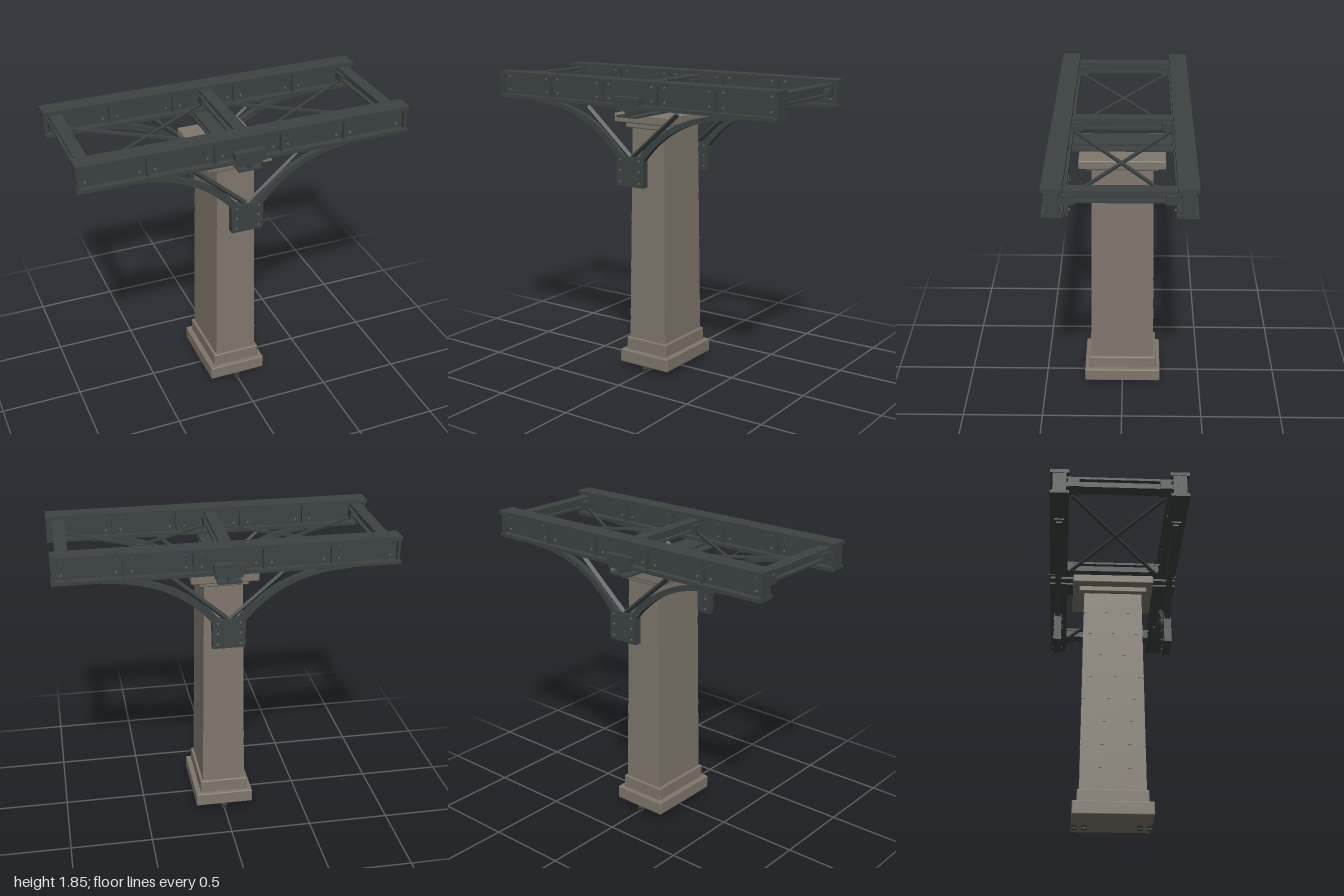
import * as THREE from 'three';
import { RoundedBoxGeometry } from 'three/addons/geometries/RoundedBoxGeometry.js';

export function createModel() {
  const model = new THREE.Group();
  model.name = 'viaductSupport';
  const iron = new THREE.MeshStandardMaterial({ color: 0x3b4342 });
  iron.name = 'dark iron';
  const rivetIron = new THREE.MeshStandardMaterial({ color: 0x596160 });
  rivetIron.name = 'worn rivet iron';
  const stone = new THREE.MeshStandardMaterial({ color: 0x80776b });
  stone.name = 'weathered stone';

  const add = (parent, name, geo, mat, x = 0, y = 0, z = 0) => {
    const m = new THREE.Mesh(geo, mat);
    m.name = name;
    m.position.set(x, y, z);
    parent.add(m);
    return m;
  };
  // Box given by its extents
  const box = (parent, name, x0, x1, y0, y1, z0, z1, mat = iron) =>
    add(parent, name, new THREE.BoxGeometry(x1 - x0, y1 - y0, z1 - z0), mat,
      (x0 + x1) / 2, (y0 + y1) / 2, (z0 + z1) / 2);
  const group = (name) => {
    const g = new THREE.Group();
    g.name = name;
    model.add(g);
    return g;
  };
  // Bar with a square-cut section between two points
  const bar = (parent, name, a, b, width, depth) => {
    const d = b.clone().sub(a);
    const m = add(parent, name, new THREE.BoxGeometry(width, depth, d.length()), iron);
    m.position.copy(a).add(b).multiplyScalar(0.5);
    m.quaternion.setFromUnitVectors(new THREE.Vector3(0, 0, 1), d.normalize());
    return m;
  };
  const rivetGeo = new THREE.CylinderGeometry(0.006, 0.008, 0.008, 8).rotateX(Math.PI / 2);
  const rivet = (parent, x, y, z, side) => {
    const m = add(parent, 'rivet', rivetGeo, rivetIron, x, y, z);
    if (side < 0) m.rotation.y = Math.PI;
  };

  // Stone pier: plinth, tapered courses and capital
  const pier = group('pier');
  const slab = (name, hx, hz, y0, y1) =>
    add(pier, name, new RoundedBoxGeometry(hx * 2, y1 - y0, hz * 2, 2, 0.008), stone, 0, (y0 + y1) / 2, 0);
  slab('plinth', 0.181, 0.243, 0.037, 0.122);
  slab('plinthStep', 0.15, 0.215, 0.115, 0.202);
  slab('capitalStep', 0.146, 0.215, 1.54, 1.582);
  slab('capital', 0.202, 0.256, 1.575, 1.63);
  const courses = 9, shaftY = 0.19, shaftH = 1.36;
  for (let i = 0; i < courses; i++) {
    const h = shaftH / courses, y = shaftY + i * h;
    const geo = new THREE.BoxGeometry(1, h, 1);
    const p = geo.attributes.position;
    for (let k = 0; k < p.count; k++) {
      const top = p.getY(k) > 0;
      const t = (i + (top ? 1 : 0)) / courses, lip = top ? 0 : 0.001;
      p.setX(k, Math.sign(p.getX(k)) * (0.133 - 0.017 * t + lip));
      p.setZ(k, Math.sign(p.getZ(k)) * (0.2 - 0.017 * t + lip));
    }
    geo.computeVertexNormals();
    add(pier, 'shaftCourse', geo, stone, 0, y + h / 2, 0);
  }

  // Anchor bolts under the plinth
  for (const z of [-0.226, -0.165, 0.165, 0.226]) {
    add(pier, 'anchorNut', new THREE.CylinderGeometry(0.02, 0.012, 0.014, 6), iron, 0, 0.018, z);
    add(pier, 'anchorWasher', new THREE.CylinderGeometry(0.016, 0.016, 0.011, 12), iron, 0, 0.0055, z);
  }

  // Bearing beam across the capital
  const bearing = group('bearingBeam');
  box(bearing, 'bearingBottomFlange', -0.07, 0.07, 1.63, 1.641, -0.405, 0.405);
  box(bearing, 'bearingWeb', -0.012, 0.012, 1.64, 1.67, -0.4, 0.4);
  box(bearing, 'bearingTopFlange', -0.075, 0.075, 1.667, 1.682, -0.405, 0.405);

  // Curved bracket band, bent from a straight strip
  const archCurve = new THREE.QuadraticBezierCurve(
    new THREE.Vector2(0.07, 1.375), new THREE.Vector2(0.3, 1.675), new THREE.Vector2(0.72, 1.677));
  const archGeo = (thickness, width) => {
    const geo = new THREE.BoxGeometry(1, thickness, width, 24, 1, 1);
    const p = geo.attributes.position;
    for (let k = 0; k < p.count; k++) {
      const t = p.getX(k) + 0.5, off = p.getY(k) * (1 - 0.45 * t);
      const c = archCurve.getPoint(t), d = archCurve.getTangent(t);
      p.setXY(k, c.x - d.y * off, c.y + d.x * off);
    }
    geo.computeVertexNormals();
    return geo;
  };
  const arch = archGeo(0.042, 0.036);

  for (const s of [1, -1]) {
    const zc = 0.35 * s;
    // Plate girder
    const girder = group(s > 0 ? 'frontGirder' : 'backGirder');
    box(girder, 'topFlange', -1, 1, 1.828, 1.85, zc - 0.056, zc + 0.056);
    box(girder, 'bottomFlange', -1, 1, 1.686, 1.706, zc - 0.056, zc + 0.056);
    box(girder, 'web', -0.998, 0.998, 1.7, 1.83, zc - 0.014, zc + 0.014);
    for (const x of [-0.988, -0.595, -0.2, 0.2, 0.595, 0.988]) {
      box(girder, 'stiffener', x - 0.008, x + 0.008, 1.7, 1.83, zc - 0.04, zc + 0.04);
      for (const dx of [-0.045, 0.045]) {
        if (Math.abs(x + dx) > 0.98) continue;
        for (const y of [1.732, 1.815]) for (const f of [1, -1]) rivet(girder, x + dx, y, zc + f * 0.017, f);
      }
    }
    const zo = 0.409 * s;
    box(girder, 'splicePlate', -0.093, 0.093, 1.684, 1.75, Math.min(zo, zc), Math.max(zo, zc));

    // Curved brackets, struts and gusset under the girder
    const bracket = group(s > 0 ? 'frontBracket' : 'backBracket');
    box(bracket, 'gusset', -0.098, 0.098, 1.215, 1.395, zc - 0.023, zc + 0.023);
    for (const x of [-0.068, 0.068]) for (const y of [1.242, 1.31, 1.374])
      for (const f of [1, -1]) rivet(bracket, x, y, zc + f * 0.026, f);
    for (const m of [1, -1]) {
      const side = new THREE.Group();
      side.name = m > 0 ? 'leftArm' : 'rightArm';
      side.position.z = zc;
      side.rotation.y = m > 0 ? 0 : Math.PI;
      bracket.add(side);
      add(side, 'archRib', arch, iron);
      box(side, 'archSeat', 0.58, 0.74, 1.676, 1.69, -0.03, 0.03);
      bar(side, 'strut', new THREE.Vector3(0.005, 1.39, 0), new THREE.Vector3(0.325, 1.668, 0), 0.024, 0.018);
    }
  }

  // Cross beams with angle cleats
  for (const x of [-0.93, 0, 0.93]) {
    const beam = group('crossBeam');
    box(beam, 'crossTopFlange', x - 0.036, x + 0.036, 1.808, 1.823, -0.34, 0.34);
    box(beam, 'crossWeb', x - 0.01, x + 0.01, 1.765, 1.81, -0.34, 0.34);
    box(beam, 'crossBottomFlange', x - 0.036, x + 0.036, 1.755, 1.768, -0.34, 0.34);
    for (const s of [1, -1]) {
      const a = 0.235 * s, b = 0.3 * s;
      box(beam, 'cleat', x - 0.048, x + 0.048, 1.75, 1.8, Math.min(a, b), Math.max(a, b));
    }
  }

  // Diagonal bracing in each bay
  const bracing = group('bracing');
  for (const m of [1, -1]) for (const s of [1, -1]) {
    bar(bracing, 'diagonalBrace', new THREE.Vector3(0.04 * m, 1.745, -0.28 * s),
      new THREE.Vector3(0.89 * m, 1.745, 0.275 * s), 0.018, 0.014);
  }
  return model;
}
